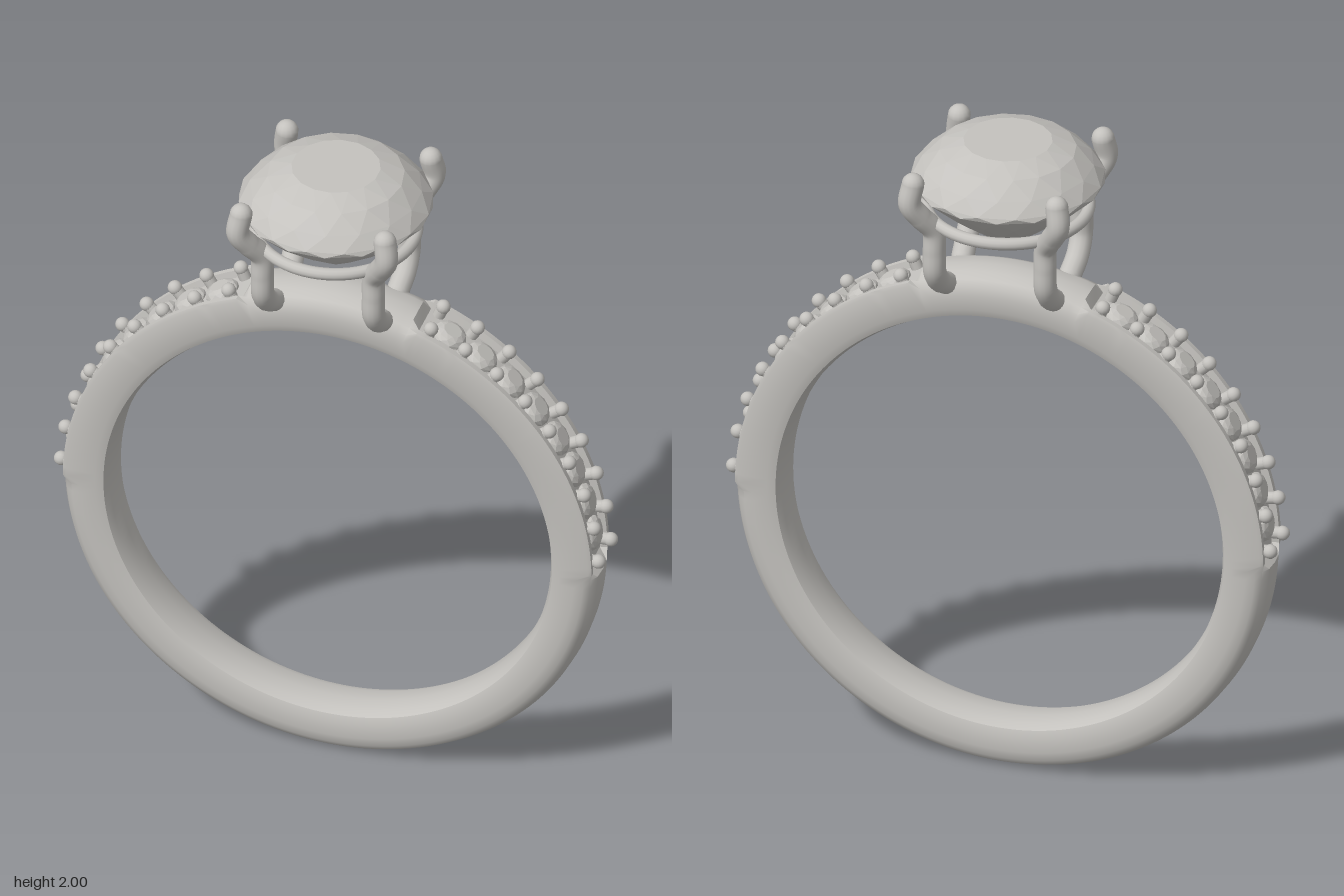
import * as THREE from 'three';
import { toCreasedNormals } from 'three/addons/utils/BufferGeometryUtils.js';

const CENTRE_Y = 0.795;
const DEG = Math.PI / 180;

// Half cross-sections of the band as [share of half width, radius], outer middle to inner middle
const INNER = [[1, 0.69], [0.9, 0.667], [0.6, 0.656], [0, 0.653]];
const ROUND = [[0, 0.795], [0.5, 0.792], [0.8, 0.779], [0.95, 0.761], [1, 0.735], ...INNER];
const GROOVE = [[0, 0.765], [0.72, 0.765], [0.77, 0.786], [0.96, 0.786], [1, 0.776], ...INNER];

// Ring band: rounded below and at the top, grooved along both shoulders
function bandGeometry() {
  const steps = 180, pos = [], index = [];
  const n = ROUND.length * 2 - 2;
  for (let i = 0; i < steps; i++) {
    const a = (i / steps) * 2 * Math.PI;
    const s = Math.sin(a), c = Math.cos(a);
    const elevation = Math.atan2(s, Math.abs(c)) / DEG;
    const half = elevation > -1 && elevation < 72 ? GROOVE : ROUND;
    const w = 0.0845 + 0.0055 * s;
    for (let j = 0; j < n; j++) {
      const mirrored = j >= ROUND.length;
      const [f, r] = half[mirrored ? n - j : j];
      pos.push(r * c, CENTRE_Y + r * s, (mirrored ? -f : f) * w);
      const i2 = (i + 1) % steps, j2 = (j + 1) % n;
      const p = i * n + j, q = i2 * n + j, t = i * n + j2, u = i2 * n + j2;
      index.push(p, q, t, q, u, t);
    }
  }
  const g = new THREE.BufferGeometry();
  g.setAttribute('position', new THREE.Float32BufferAttribute(pos, 3));
  g.setIndex(index);
  return toCreasedNormals(g, 0.6);
}

// Faceted gem from [radius, height] rings, top to bottom, each turned half a step
function gemGeometry(rings, sides) {
  const pos = [];
  const point = (i, k) => {
    const a = ((k + i / 2) / sides) * 2 * Math.PI;
    return [rings[i][0] * Math.sin(a), rings[i][1], rings[i][0] * Math.cos(a)];
  };
  for (let i = 0; i < rings.length - 1; i++) {
    for (let k = 0; k < sides; k++) {
      if (rings[i + 1][0] > 0) pos.push(...point(i + 1, k - 1), ...point(i + 1, k), ...point(i, k));
      if (rings[i][0] > 0) pos.push(...point(i, k), ...point(i + 1, k), ...point(i, k + 1));
    }
  }
  const g = new THREE.BufferGeometry();
  g.setAttribute('position', new THREE.Float32BufferAttribute(pos, 3));
  g.computeVertexNormals();
  return g;
}

export function createModel() {
  const model = new THREE.Group();
  model.name = 'ring';
  const silver = new THREE.MeshStandardMaterial({ color: 0xc4c2be });
  silver.name = 'silver grey';

  const add = (parent, name, geometry, x = 0, y = 0, z = 0) => {
    const mesh = new THREE.Mesh(geometry, silver);
    mesh.name = name;
    mesh.position.set(x, y, z);
    parent.add(mesh);
    return mesh;
  };

  add(model, 'band', bandGeometry());

  // Main stone: table, crown, girdle, pavilion
  add(model, 'mainStone', gemGeometry([
    [0, 2.0], [0.127, 2.0], [0.195, 1.975], [0.245, 1.932], [0.276, 1.893],
    [0.276, 1.878], [0.22, 1.825], [0.135, 1.757], [0, 1.655],
  ], 16));

  // Basket ring under the stone
  const basket = add(model, 'basketRing', new THREE.TorusGeometry(0.23, 0.018, 12, 64), 0, 1.79, 0);
  basket.rotation.x = Math.PI / 2;

  // Four prongs with rounded ends
  for (const sx of [1, -1]) {
    for (const sz of [1, -1]) {
      const path = [
        [0.16, 1.548, 0.075], [0.165, 1.585, 0.128], [0.165, 1.635, 0.163], [0.165, 1.70, 0.166],
        [0.167, 1.765, 0.167], [0.197, 1.82, 0.197], [0.221, 1.87, 0.219], [0.214, 1.93, 0.21],
      ].map(([x, y, z]) => new THREE.Vector3(x * sx, y, z * sz));
      const prong = new THREE.Group();
      prong.name = 'prong';
      model.add(prong);
      const curve = new THREE.CatmullRomCurve3(path);
      add(prong, 'prongStem', new THREE.TubeGeometry(curve, 48, 0.033, 14));
      for (const end of [path[0], path[path.length - 1]]) {
        add(prong, 'prongEnd', new THREE.SphereGeometry(0.033, 14, 10), end.x, end.y, end.z);
      }
    }
  }

  // Small stones and holding beads along both shoulders
  const smallGem = gemGeometry([
    [0, 0.79], [0.028, 0.79], [0.043, 0.783], [0.051, 0.772], [0.051, 0.76], [0, 0.73],
  ], 10);
  const beadGeo = new THREE.SphereGeometry(0.021, 14, 10);
  const postGeo = new THREE.CylinderGeometry(0.018, 0.018, 0.045, 12, 1, true);
  const spacing = 8.15;
  const station = (name, degrees, side) => {
    const group = new THREE.Group();
    group.name = name;
    group.position.y = CENTRE_Y;
    group.rotation.z = side * (degrees - 90) * DEG;
    model.add(group);
    return group;
  };
  for (const side of [1, -1]) {
    for (let i = 0; i < 9; i++) {
      const beads = station('beadPair', 2.7 + spacing * i, side);
      for (const z of [0.056, -0.056]) {
        add(beads, 'bead', beadGeo, 0, 0.8, z);
        add(beads, 'beadPost', postGeo, 0, 0.778, z);
      }
      if (i < 8) add(station('smallStoneSeat', 2.7 + spacing * (i + 0.5), side), 'smallStone', smallGem);
    }
  }
  return model;
}
